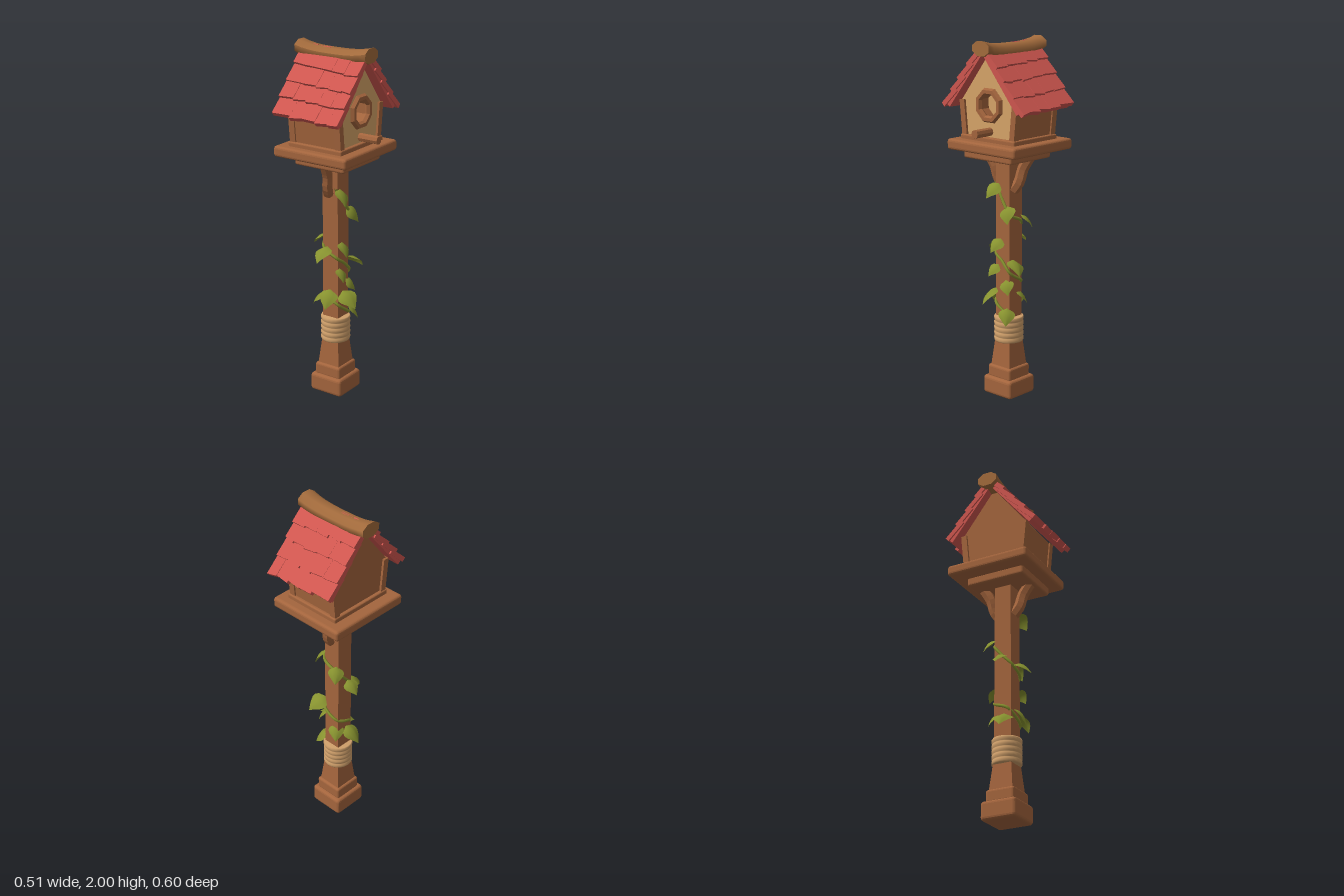
import * as THREE from 'three';
import { RoundedBoxGeometry } from 'three/addons/geometries/RoundedBoxGeometry.js';

const mat = (name, color, opts = {}) => new THREE.MeshStandardMaterial({ name, color, ...opts });

export function createModel() {
  const model = new THREE.Group();
  model.name = 'birdhouse';
  const wood = mat('brown wood', 0xa4653d, { flatShading: true });
  const ridgeWood = mat('golden brown wood', 0xa36b3c);
  const tan = mat('pale wood', 0xd6a468, { flatShading: true });
  const rope = mat('rope', 0xcf9f6a);
  const red = mat('red shingle', 0xcf564f, { flatShading: true });
  const green = mat('leaf green', 0x87922f, { side: THREE.DoubleSide });

  let seed = 7;
  const rand = () => ((seed = (seed * 16807) % 2147483647) / 2147483647) * 2 - 1;

  const add = (name, geo, material, x = 0, y = 0, z = 0, parent = model) => {
    const mesh = new THREE.Mesh(geo, material);
    mesh.name = name;
    mesh.position.set(x, y, z);
    parent.add(mesh);
    return mesh;
  };
  // Rounded slab between two heights
  const slab = (name, x, z, w, d, y0, y1, r = 0.012) =>
    add(name, new RoundedBoxGeometry(w, y1 - y0, d, 2, r), wood, x, (y0 + y1) / 2, z);
  // Four-sided tapered column, sizes are half widths
  const column = (name, x, z, bottom, top, y0, y1) => {
    const geo = new THREE.CylinderGeometry(top * Math.SQRT2, bottom * Math.SQRT2, y1 - y0, 4);
    geo.rotateY(Math.PI / 4);
    return add(name, geo, wood, x, (y0 + y1) / 2, z);
  };

  // Post and foot
  const PX = -0.02;
  slab('foot', PX, 0, 0.208, 0.208, 0, 0.105, 0.018);
  slab('footStep', PX, 0, 0.168, 0.168, 0.095, 0.17, 0.014);
  column('flaredPost', PX, 0, 0.07, 0.053, 0.165, 0.33);
  column('post', PX, 0, 0.051, 0.05, 0.32, 1.37);

  // Rope wrapping with gently bulging coils
  const coils = [[0, 0.31]];
  for (let i = 0; i < 5; i++) {
    const y = 0.31 + i * 0.03;
    coils.push([0.079, y + 0.002], [0.083, y + 0.009], [0.083, y + 0.021], [0.079, y + 0.028]);
  }
  coils.push([0, 0.46]);
  add('ropeWrap', new THREE.LatheGeometry(coils.map(p => new THREE.Vector2(...p)), 20), rope, PX);

  // Curved braces under the platform
  for (const s of [1, -1]) {
    const path = new THREE.CatmullRomCurve3([[0.045, 1.18], [0.077, 1.23], [0.092, 1.3], [0.13, 1.37]]
      .map(([z, y], i) => new THREE.Vector3(PX - 0.012 * s + 0.012 * i * s, y, z * s)));
    add('brace', new THREE.TubeGeometry(path, 8, 0.031, 6), wood);
  }

  // Platform
  slab('platformSupport', -0.005, 0, 0.32, 0.35, 1.355, 1.41);
  slab('platform', -0.021, -0.004, 0.472, 0.495, 1.4, 1.46, 0.016);
  slab('sill', -0.017, 0, 0.345, 0.395, 1.45, 1.485, 0.008);

  // House body and entrance gable, five-sided in the z-y plane
  const gable = () => new THREE.Shape([[-0.18, 1.48], [0.18, 1.48], [0.2, 1.67], [0, 1.93], [-0.2, 1.67]]
    .map(p => new THREE.Vector2(...p)));
  const extrudeX = (shape, depth) =>
    new THREE.ExtrudeGeometry(shape, { depth, bevelEnabled: false, curveSegments: 8 }).rotateY(Math.PI / 2);
  add('houseBody', extrudeX(gable(), 0.235), wood, -0.17);
  const front = gable();
  const hole = new THREE.Path();
  for (let i = 0; i < 8; i++) {
    const a = -(i + 0.5) * Math.PI / 4;
    hole[i ? 'lineTo' : 'moveTo'](0.072 * Math.cos(a), 1.655 + 0.072 * Math.sin(a));
  }
  hole.closePath();
  front.holes.push(hole);
  add('entranceWall', extrudeX(front, 0.07), [tan, wood], 0.065);
  add('entranceBack', new THREE.CircleGeometry(0.085, 8).rotateY(Math.PI / 2), tan, 0.068, 1.655, 0);
  const ring = new THREE.TorusGeometry(0.079, 0.02, 6, 8).rotateZ(Math.PI / 8).rotateY(Math.PI / 2);
  add('entranceRing', ring, wood, 0.138, 1.655, -0.005);
  add('perch', new THREE.CylinderGeometry(0.023, 0.023, 0.13, 8).rotateZ(Math.PI / 2), wood, 0.19, 1.515, -0.007);

  // Leaning corner posts
  for (const x of [-0.165, 0.13]) for (const s of [1, -1]) {
    const post = add('cornerPost', new THREE.BoxGeometry(0.036, 0.2, 0.034), wood, x, 1.572, 0.181 * s);
    post.rotation.x = 0.1 * s;
  }

  // Roof slopes: a board with four rows of overlapping shingles
  const slope = 0.89, edges = [-0.21, -0.105, -0.02, 0.06, 0.14, 0.21];
  for (const s of [1, -1]) {
    const side = new THREE.Group();
    side.name = s > 0 ? 'frontRoof' : 'backRoof';
    side.position.set(-0.015, 1.93, 0);
    side.rotation.order = 'YXZ';
    side.rotation.set(slope, s > 0 ? 0 : Math.PI, 0);
    model.add(side);
    add('roofBoard', new THREE.BoxGeometry(0.405, 0.022, 0.385), red, 0, 0.011, 0.195, side);
    for (let row = 0; row < 4; row++) {
      for (let i = 0; i < 5; i++) {
        const shift = row % 2 ? 0.012 : -0.012;
        const a = edges[i] + (i ? shift : 0), b = edges[i + 1] + (i < 4 ? shift : 0);
        const mid = (a + b) / 2, low = 0.098 * (row + 1) + 0.01 + mid * 0.05 + rand() * 0.005;
        const geo = new THREE.BoxGeometry(b - a + 0.002, 0.027, 0.135);
        // Uneven lower edge
        const p = geo.attributes.position, skew = rand() * 0.006;
        for (let k = 0; k < p.count; k++)
          if (p.getZ(k) > 0) p.setZ(k, p.getZ(k) + Math.sign(p.getX(k)) * skew);
        const tile = add('shingle', geo, red, mid * s, 0.03 + rand() * 0.002, low - 0.067, side);
        tile.rotation.x = -0.14;
      }
    }
  }

  // Ridge log, flared upwards at both ends
  const log = new THREE.CylinderGeometry(1, 1, 0.455, 8, 10).rotateY(Math.PI / 8).rotateZ(Math.PI / 2);
  const lp = log.attributes.position;
  for (let i = 0; i < lp.count; i++) {
    const t = Math.abs(lp.getX(i) / 0.2275) ** 3;
    lp.setY(i, lp.getY(i) * (0.041 + 0.002 * t) + 0.022 * t);
    lp.setZ(i, lp.getZ(i) * (0.059 + 0.005 * t));
  }
  log.computeVertexNormals();
  add('ridgeLog', log, ridgeWood, -0.022, 1.938, -0.005);

  // Vine winding round the post
  const vine = new THREE.CatmullRomCurve3([
    [0.02, 1.22, 0.055], [0.035, 1.13, 0], [0.033, 1.05, -0.055], [-0.06, 1.0, -0.055],
    [-0.075, 0.93, 0], [-0.06, 0.87, 0.055], [0.025, 0.82, 0.055], [0.035, 0.78, 0],
    [0.033, 0.72, -0.055], [-0.06, 0.66, -0.055], [-0.075, 0.62, 0.03], [-0.03, 0.58, 0.056],
    [0.033, 0.54, 0.05], [0.036, 0.47, -0.05]].map(p => new THREE.Vector3(...p)));
  add('vineStem', new THREE.TubeGeometry(vine, 90, 0.009, 5), green);

  // Leaf: a tapering folded sheet that droops towards its tip
  const leaf = new THREE.PlaneGeometry(1, 1, 4, 6);
  const q = leaf.attributes.position;
  for (let i = 0; i < q.count; i++) {
    const u = q.getX(i) * 2, t = q.getY(i) + 0.5;
    const w = 0.05 * Math.sin(Math.PI * Math.pow(t, 0.65));
    q.setXYZ(i, u * w, 0.035 * t - 0.085 * t * t - Math.abs(u) * w * 0.4, 0.1 * t);
  }
  leaf.computeVertexNormals();
  const leaves = [
    [0.06, 1.19, 0.05, 1], [0.06, 1.07, -0.06, 1], [-0.08, 1.01, -0.08, 0.9], [-0.12, 0.9, 0.01, 0.9],
    [-0.045, 0.855, 0.1, 1.1], [0.06, 0.88, 0.02, 0.9], [0.04, 0.77, -0.1, 1.1], [0.055, 0.73, 0.05, 0.8],
    [0.06, 0.65, -0.04, 0.85], [-0.02, 0.6, 0.09, 1.1], [0.09, 0.6, 0.05, 1.15], [-0.11, 0.56, 0.03, 1.15],
    [0.065, 0.49, -0.06, 0.95], [-0.06, 0.58, -0.06, 0.9]];
  for (const [x, y, z, size] of leaves) {
    const turn = Math.atan2(x - PX, z), back = 0.04 * size;
    const mesh = add('leaf', leaf, green, x - Math.sin(turn) * back, y + 0.025, z - Math.cos(turn) * back);
    mesh.rotation.set(0.35 + rand() * 0.2, turn + rand() * 0.3, rand() * 0.35, 'YXZ');
    mesh.scale.setScalar(size);
  }
  return model;
}
